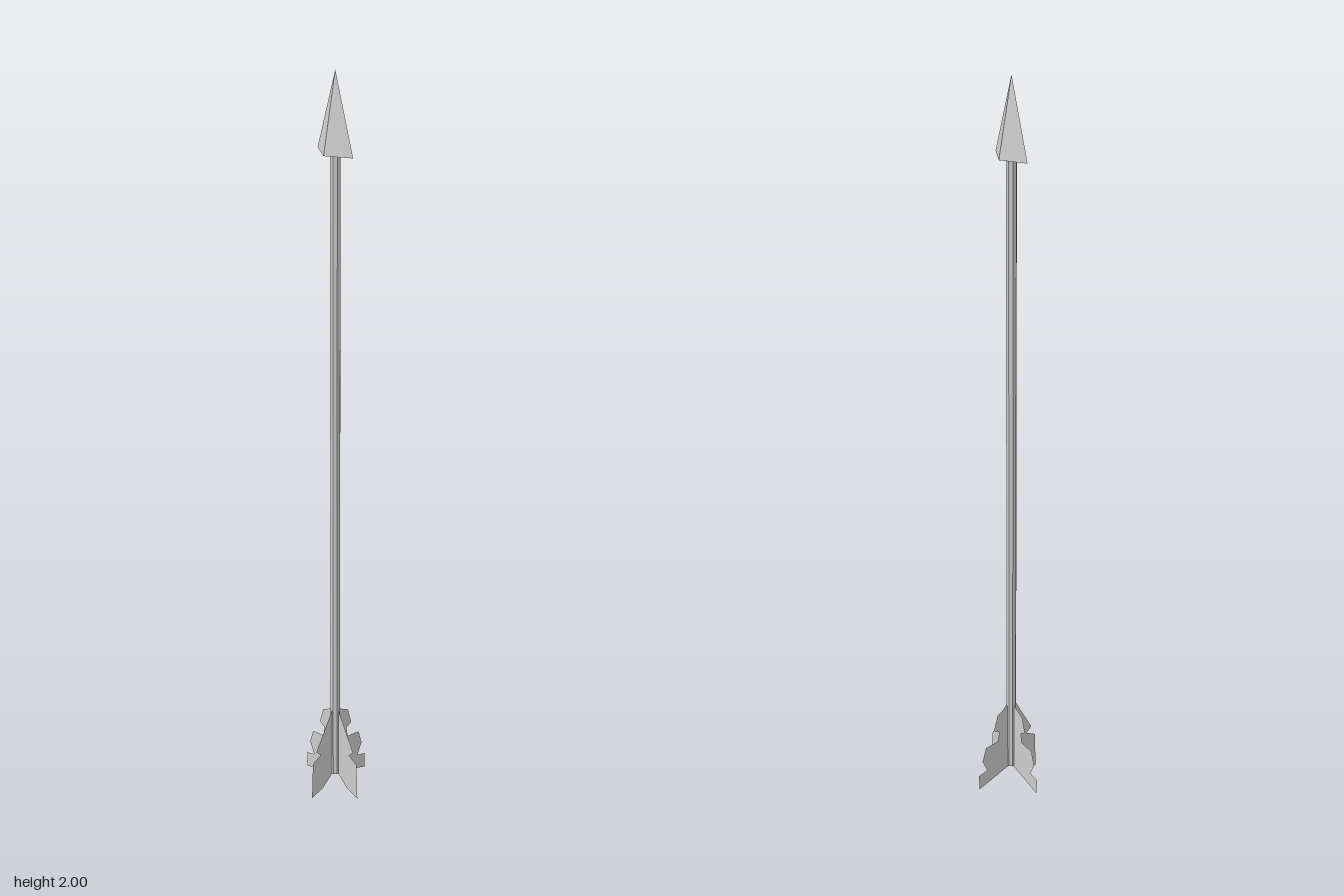
import * as THREE from 'three';

// Feather outlines as [distance from the shaft axis, height]
const SMOOTH_FEATHER = [
  [0, 0.25], [0.011, 0.25], [0.07, 0.14], [0.054, 0.124], [0.083, 0.108],
  [0.087, 0], [0.048, 0.012], [0.011, 0.045], [0, 0.045],
];
const RAGGED_FEATHER = [
  [0, 0.25], [0.047, 0.225], [0.06, 0.18], [0.042, 0.168], [0.047, 0.14], [0.088, 0.135],
  [0.1, 0.095], [0.084, 0.06], [0.112, 0.053], [0.112, 0.008], [0, 0.045],
];

export function createModel() {
  const arrow = new THREE.Group();
  arrow.name = 'arrow';
  const solid = new THREE.MeshStandardMaterial({ color: 0xcccccc, flatShading: true });
  const thin = new THREE.MeshStandardMaterial({ color: 0xcccccc, flatShading: true, side: THREE.DoubleSide });

  const add = (name, geometry, material, y = 0) => {
    const mesh = new THREE.Mesh(geometry, material);
    mesh.name = name;
    mesh.position.y = y;
    arrow.add(mesh);
    return mesh;
  };

  // Slim faceted shaft
  const shaft = new THREE.CylinderGeometry(0.0135, 0.0135, 1.76, 8).rotateY(Math.PI / 8);
  add('shaft', shaft, solid, 0.925);

  // Four-sided diamond head, wider across x than z
  const head = new THREE.ConeGeometry(1, 0.2, 4).scale(0.061, 1, 0.038);
  add('arrowhead', head, solid, 1.9);

  // Flat feathers in a cross: one outline on +x and +z, the other on -x and -z
  const feathers = [
    ['leftFeather', SMOOTH_FEATHER, 0],
    ['frontFeather', SMOOTH_FEATHER, -Math.PI / 2],
    ['rightFeather', RAGGED_FEATHER, Math.PI],
    ['backFeather', RAGGED_FEATHER, Math.PI / 2],
  ];
  for (const [name, outline, angle] of feathers) {
    const shape = new THREE.Shape(outline.map(([r, y]) => new THREE.Vector2(r, y)));
    add(name, new THREE.ShapeGeometry(shape), thin).rotation.y = angle;
  }

  // The shaft axis sits slightly off centre because the feathers differ in width
  arrow.position.set(0.0125, 0, 0.0125);
  const model = new THREE.Group();
  model.add(arrow);
  return model;
}
